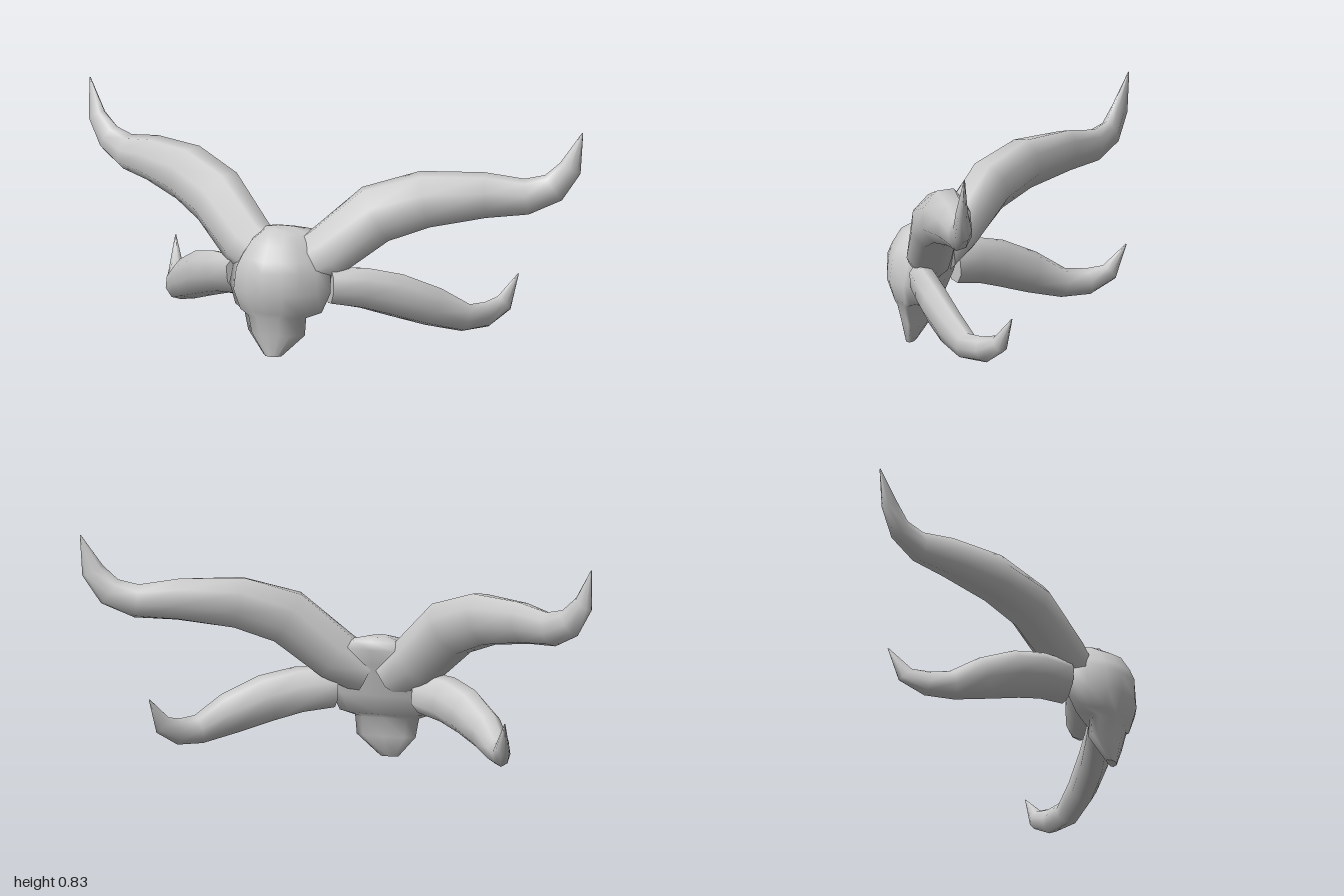
import * as THREE from 'three';

const material = new THREE.MeshStandardMaterial({ color: 0xcccccc });

// Skin a list of rings (counter-clockwise about the direction of travel), with flat end caps
function loft(name, rings) {
  const n = rings[0].length, pos = [], index = [];
  rings.forEach(r => r.forEach(p => pos.push(p.x, p.y, p.z)));
  for (let i = 0; i < rings.length - 1; i++) {
    for (let j = 0; j < n; j++) {
      const a = i * n + j, b = i * n + (j + 1) % n;
      index.push(a, b, a + n, b, b + n, a + n);
    }
  }
  for (const [ring, start] of [[rings[0], true], [rings[rings.length - 1], false]]) {
    const base = pos.length / 3;
    const mid = ring.reduce((s, p) => s.add(p), new THREE.Vector3()).divideScalar(n);
    [...ring, mid].forEach(p => pos.push(p.x, p.y, p.z));
    for (let j = 0; j < n; j++) {
      const a = base + j, b = base + (j + 1) % n;
      index.push(base + n, start ? b : a, start ? a : b);
    }
  }
  const geo = new THREE.BufferGeometry();
  geo.setAttribute('position', new THREE.Float32BufferAttribute(pos, 3));
  geo.setIndex(index);
  geo.computeVertexNormals();
  const mesh = new THREE.Mesh(geo, material);
  mesh.name = name;
  return mesh;
}

// Tapered horn; stations are [x, y, z, half height, half width].
// Roll leans the top of the rings backwards at the root and fades out to the tip.
function horn(name, stations, side, roll, sides = 8) {
  const c = stations.map(s => new THREE.Vector3(s[0] * side, s[1], s[2]));
  const last = c.length - 1;
  const level = c[last].clone().sub(c[0]).setY(0).cross(new THREE.Vector3(0, 1, 0)).normalize();
  const rings = stations.map(([, , , h, w], i) => {
    const t = c[Math.min(i + 1, last)].clone().sub(c[Math.max(i - 1, 0)]).normalize();
    const angle = roll * side * (1 - i / last);
    const across = level.clone().applyAxisAngle(t, -angle);
    const up = across.clone().cross(t).normalize();
    return Array.from({ length: sides }, (_, j) => {
      const a = -j / sides * Math.PI * 2;
      return c[i].clone().addScaledVector(across, Math.cos(a) * w).addScaledVector(up, Math.sin(a) * h);
    });
  });
  return loft(name, rings);
}

const upperHorn = [
  [0.05, 0.315, 0.16, 0.09, 0.07],
  [0.16, 0.38, 0.13, 0.105, 0.085],
  [0.32, 0.52, 0.06, 0.113, 0.09],
  [0.48, 0.575, -0.02, 0.105, 0.08],
  [0.675, 0.59, -0.12, 0.083, 0.062],
  [0.81, 0.585, -0.185, 0.065, 0.045],
  [0.9, 0.62, -0.222, 0.055, 0.034],
  [0.96, 0.695, -0.238, 0.042, 0.022],
  [0.999, 0.825, -0.26, 0.002, 0.002],
];

const lowerHorn = [
  [0.18, 0.26, 0.15, 0.078, 0.055],
  [0.29, 0.25, 0.095, 0.084, 0.058],
  [0.39, 0.222, 0.035, 0.086, 0.058],
  [0.5, 0.172, -0.05, 0.076, 0.054],
  [0.585, 0.122, -0.14, 0.053, 0.045],
  [0.63, 0.123, -0.22, 0.048, 0.036],
  [0.665, 0.155, -0.29, 0.036, 0.026],
  [0.695, 0.255, -0.345, 0.002, 0.002],
];

// Head levels from chin to crown: [y, half width, front z, back z]
const headLevels = [
  [0, 0.035, 0.272, 0.24],
  [0.08, 0.115, 0.287, 0.19],
  [0.148, 0.125, 0.305, 0.195],
  [0.167, 0.175, 0.315, 0.155],
  [0.24, 0.205, 0.345, 0.125],
  [0.32, 0.195, 0.342, 0.1],
  [0.36, 0.175, 0.325, 0.085],
  [0.415, 0.14, 0.29, 0.065],
  [0.445, 0.1, 0.235, 0.07],
  [0.456, 0.04, 0.19, 0.12],
];

// Half outline of the head from above: [fraction of width, back 0 to front 1]
const headOutline = [[0, 1], [0.35, 0.9], [0.67, 0.76], [0.82, 0.47], [1, 0.3], [0.7, 0.05], [0, 0]];

function head() {
  const mirrored = headOutline.slice(1, -1).reverse().map(([u, v]) => [-u, v]);
  const outline = [...headOutline, ...mirrored];
  return loft('head', headLevels.map(([y, w, front, back]) =>
    outline.map(([u, v]) => new THREE.Vector3(u * w, y, back + (front - back) * v))));
}

export function createModel() {
  const group = new THREE.Group();
  group.name = 'hornedHead';
  group.add(head());
  for (const [label, side] of [['left', 1], ['right', -1]]) {
    group.add(horn(label + 'UpperHorn', upperHorn, side, 0.6));
    group.add(horn(label + 'LowerHorn', lowerHorn, side, -0.4));
  }
  return group;
}
